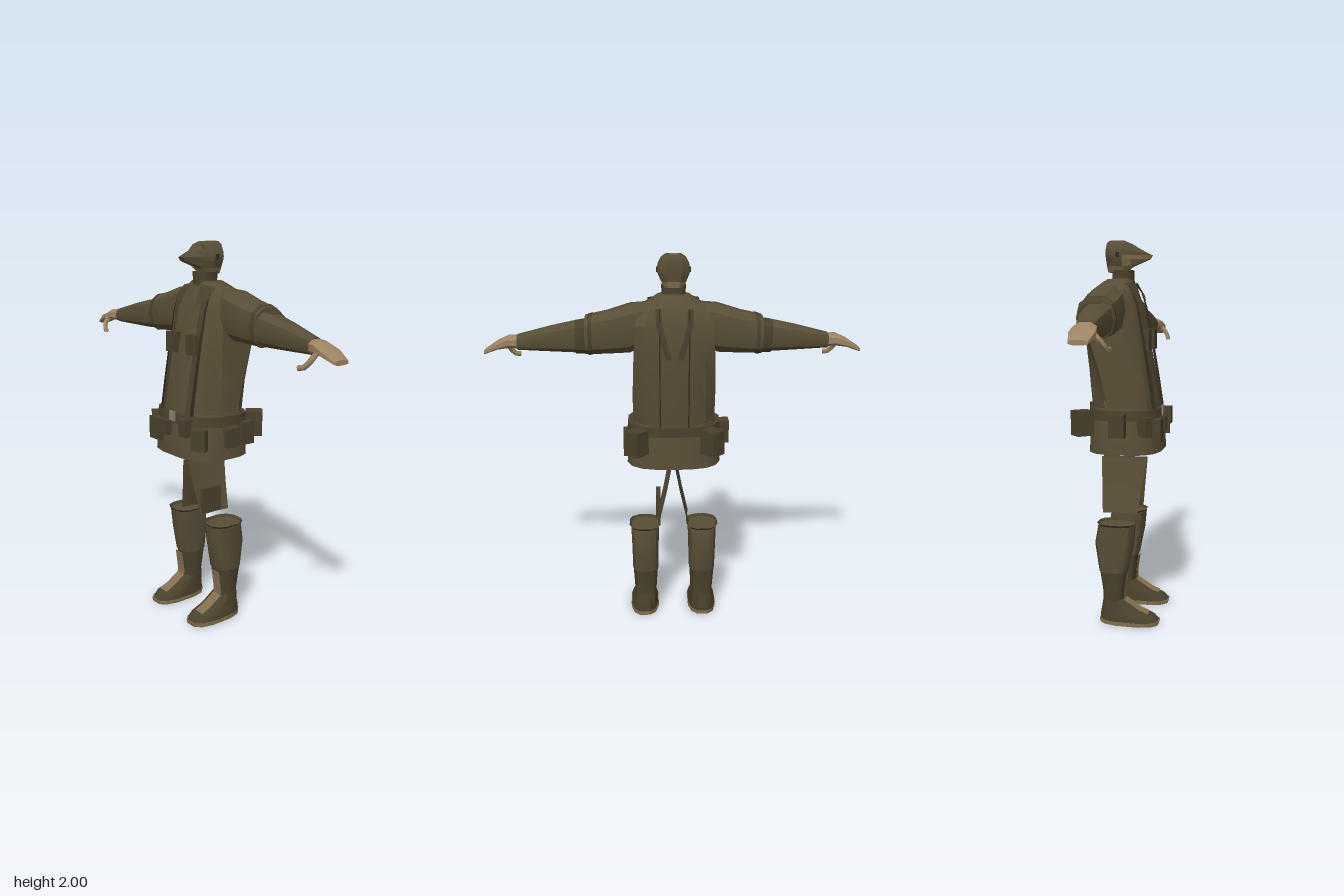
import * as THREE from 'three';
import { toCreasedNormals } from 'three/addons/utils/BufferGeometryUtils.js';

const mat = (name, color, side = THREE.DoubleSide) => {
  const m = new THREE.MeshStandardMaterial({ color, side });
  m.name = name;
  return m;
};

// Skin a list of rings (arrays of [x, y, z]) with optional caps
function loft(rings, { closed = true, caps = closed } = {}) {
  const n = rings[0].length, pos = [];
  const tri = (a, b, c) => pos.push(...a, ...b, ...c);
  for (let i = 0; i < rings.length - 1; i++) {
    for (let j = 0; j < (closed ? n : n - 1); j++) {
      const k = (j + 1) % n, A = rings[i], B = rings[i + 1];
      tri(A[j], B[j], B[k]);
      tri(A[j], B[k], A[k]);
    }
  }
  if (caps) {
    const mid = r => [0, 1, 2].map(d => r.reduce((s, p) => s + p[d], 0) / n);
    const first = rings[0], last = rings[rings.length - 1];
    for (let j = 0; j < n; j++) {
      const k = (j + 1) % n;
      tri(mid(first), first[j], first[k]);
      tri(mid(last), last[k], last[j]);
    }
  }
  const g = new THREE.BufferGeometry();
  g.setAttribute('position', new THREE.Float32BufferAttribute(pos, 3));
  return toCreasedNormals(g, 0.6);
}

// Mirror a geometry across x = 0, keeping faces outward
function mirror(geo) {
  const g = geo.index ? geo.toNonIndexed() : geo.clone();
  const p = g.attributes.position;
  for (let i = 0; i < p.count; i += 3) {
    const v = [0, 2, 1].map(k => [-p.getX(i + k), p.getY(i + k), p.getZ(i + k)]);
    v.forEach((q, k) => p.setXYZ(i + k, ...q));
  }
  g.deleteAttribute('normal');
  return toCreasedNormals(g, 0.6);
}

// Rounded-square rings: level across y, or upright across x
const round = (t, e) => Math.sign(t) * Math.abs(t) ** e;
const angles = n => Array.from({ length: n }, (_, i) => ((i + 0.5) / n) * Math.PI * 2);
const ringY = (cx, y, rx, zf, zb, n = 12, e = 0.75) => angles(n).map(a =>
  [cx + rx * round(Math.cos(a), e), y, (zf + zb) / 2 + (zf - zb) / 2 * round(Math.sin(a), e)]);
const ringX = (x, cy, ry, cz, rz, n = 10) => angles(n).map(a =>
  [x, cy + ry * round(Math.cos(a), 0.8), cz - rz * round(Math.sin(a), 0.8)]);

export function createModel() {
  const model = new THREE.Group();
  const olive = mat('olive cloth', 0x584e36);
  const dark = mat('dark olive gear', 0x4a412c);
  const shade = mat('seam brown', 0x332d1f);
  const skin = mat('skin tan', 0x9c8362);
  const worn = mat('worn leather', 0x85704f);
  const metal = mat('buckle metal', 0x8c8270);
  const add = (name, geo, m) => {
    const mesh = new THREE.Mesh(geo, m);
    mesh.name = name;
    model.add(mesh);
    return mesh;
  };
  const pair = (name, geo, m) => {
    add(name + 'Left', geo, m);
    add(name + 'Right', mirror(geo), m);
  };
  const box = (name, m, size, at, turn = 0) => {
    const mesh = add(name, new THREE.BoxGeometry(...size), m);
    mesh.position.set(...at);
    mesh.rotation.y = turn;
  };

  // Jacket: front and back shells with an open seam; rows are y, half width, front, back, seam
  const rows = [
    [1.14, 0.213, 0.185, -0.15, -0.045], [1.3, 0.213, 0.16, -0.165, -0.08],
    [1.5, 0.205, 0.125, -0.176, -0.145], [1.67, 0.195, 0.09, -0.18, -0.155],
    [1.75, 0.165, 0.06, -0.15, -0.1], [1.795, 0.09, 0.04, -0.1, -0.05],
  ];
  const flip = half => [...half, ...half.slice(0, -1).reverse().map(([x, y, z]) => [-x, y, z])];
  add('jacketFront', loft(rows.map(([y, w, f, , s]) => flip([
    [w, y, s + 0.006], [w, y, f * 0.35], [w * 0.76, y, f * 0.84], [w * 0.4, y, f], [0, y, f + 0.002],
  ])), { closed: false }), olive);
  add('jacketBack', loft(rows.map(([y, w, , b, s]) => flip([
    [-w, y, s - 0.006], [-w * 0.75, y, b * 0.75 + s * 0.25], [-w * 0.4, y, b], [0, y, b],
  ])), { closed: false }), olive);

  // Jacket straps and seams
  const strip = (x0, x1, pick) => loft(rows.slice(0, 5).map(pick(x0, x1)), { closed: false });
  const frontRow = (x0, x1) => ([y, , f]) => [[x1, y, f * 0.89 + 0.009], [x0, y, f + 0.008]];
  const backRow = (x0, x1) => ([y, , b0, b]) => [[x0, y, b - 0.006], [x1, y, b - 0.004]];
  pair('frontStrap', strip(0.088, 0.128, frontRow), dark);
  pair('frontSeam', strip(0.126, 0.132, frontRow), shade);
  pair('backSeam', strip(0.07, 0.077, backRow), shade);
  pair('yokeStrap', loft([
    [[0.015, 1.5, -0.181], [0.045, 1.5, -0.181]], [[0.06, 1.67, -0.187], [0.09, 1.67, -0.185]],
    [[0.065, 1.75, -0.157], [0.095, 1.75, -0.15]],
  ], { closed: false }), dark);

  // Collar and neck
  add('collar', loft([
    ringY(0, 1.73, 0.15, 0.075, -0.15), ringY(0, 1.775, 0.125, 0.06, -0.125), ringY(0, 1.805, 0.08, 0.045, -0.085),
  ]), olive);
  pair('collarFlap', loft([
    [[0.14, 1.72, 0.085], [0.06, 1.69, 0.105]], [[0.13, 1.78, 0.03], [0.045, 1.79, 0.06]],
  ], { closed: false }), dark);
  add('neckScarf', loft([
    ringY(0, 1.76, 0.07, 0.06, -0.06), ringY(0, 1.81, 0.06, 0.05, -0.06), ringY(0, 1.85, 0.065, 0.05, -0.06),
  ]), dark);

  // Head with a jutting, wedge-shaped face
  const headRing = ([y, w, f, b]) => [
    [w, y, 0], [w * 0.7, y, Math.min(0.04, f)], [w * 0.2, y, f], [-w * 0.2, y, f], [-w * 0.7, y, Math.min(0.04, f)],
    [-w, y, 0], [-w * 0.95, y, b * 0.7], [-w * 0.5, y, b], [w * 0.5, y, b], [w * 0.95, y, b * 0.7],
  ];
  const jaw = [[1.84, 0.05, 0.01, -0.08], [1.87, 0.065, 0.045, -0.085]].map(headRing);
  const hood = [
    [1.87, 0.065, 0.045, -0.085], [1.905, 0.08, 0.135, -0.088], [1.925, 0.084, 0.148, -0.09],
    [1.955, 0.078, 0.09, -0.09], [1.985, 0.062, 0.04, -0.086], [2, 0.04, 0.005, -0.075],
  ].map(headRing);
  add('jaw', loft(jaw), worn);
  add('hood', loft(hood), olive);
  add('cheek', loft(hood.slice(0, 3).map(r => [r[3], r[4], r[5]].map(([x, y, z]) => [x - 0.003, y, z + 0.003])),
    { closed: false }), worn);
  box('crownPatch', worn, [0.035, 0.004, 0.06], [0, 1.999, -0.035]);
  for (const s of [-1, 1]) box('earSpot', shade, [0.004, 0.025, 0.018], [s * 0.084, 1.925, -0.02]);

  // Arms: wide rolled sleeve, forearm, hand and thumb
  pair('sleeve', loft([
    ringX(0.11, 1.675, 0.1, -0.05, 0.08), ringX(0.22, 1.642, 0.124, -0.052, 0.105),
    ringX(0.34, 1.62, 0.108, -0.048, 0.1), ringX(0.445, 1.607, 0.098, -0.045, 0.094),
  ]), olive);
  pair('sleeveCuff', loft([ringX(0.41, 1.612, 0.104, -0.045, 0.099), ringX(0.43, 1.607, 0.103, -0.045, 0.098)]), dark);
  pair('forearm', loft([
    ringX(0.42, 1.602, 0.085, -0.035, 0.08), ringX(0.5, 1.595, 0.08, -0.03, 0.076),
    ringX(0.62, 1.583, 0.065, -0.018, 0.066), ringX(0.795, 1.562, 0.039, 0, 0.046),
  ]), olive);
  pair('elbowPad', loft([ringX(0.445, 1.6, 0.087, -0.045, 0.083), ringX(0.495, 1.596, 0.083, -0.045, 0.075)]), dark);
  pair('hand', loft([
    ringX(0.78, 1.562, 0.034, 0, 0.04, 8), ringX(0.84, 1.563, 0.032, 0.013, 0.055, 8),
    ringX(0.9, 1.545, 0.022, 0.015, 0.062, 8), ringX(0.965, 1.512, 0.012, 0.015, 0.046, 8),
  ]), skin);
  const thumbPath = new THREE.CatmullRomCurve3(
    [[0.86, 1.555, 0.045], [0.85, 1.51, 0.085], [0.825, 1.48, 0.1], [0.8, 1.477, 0.108]].map(p => new THREE.Vector3(...p)));
  pair('thumb', new THREE.TubeGeometry(thumbPath, 5, 0.014, 5), skin);

  // Jacket skirt, belt and buckle
  add('skirt', loft([
    ringY(0, 0.915, 0.25, 0.218, -0.172, 16, 0.7), ringY(0, 1.03, 0.243, 0.212, -0.165, 16, 0.7),
    ringY(0, 1.15, 0.22, 0.185, -0.153, 16, 0.7),
  ]), olive);
  add('belt', loft([ringY(0, 1.09, 0.248, 0.212, -0.168, 16, 0.7), ringY(0, 1.14, 0.243, 0.205, -0.165, 16, 0.7)]), dark);
  box('buckle', metal, [0.045, 0.05, 0.008], [0, 1.125, 0.21]);

  // Pouches: size, position, turn
  [
    [[0.08, 0.105, 0.05], [-0.085, 1.495, 0.13]], [[0.08, 0.105, 0.05], [0.083, 1.495, 0.13]],
    [[0.1, 0.12, 0.04], [-0.135, 1.035, 0.208]], [[0.06, 0.08, 0.04], [-0.045, 1.06, 0.215]],
    [[0.06, 0.09, 0.04], [0.12, 1.085, 0.218]], [[0.08, 0.11, 0.04], [0.195, 1.03, 0.185], 0.5],
    [[0.07, 0.12, 0.08], [-0.26, 1.07, 0.02]], [[0.04, 0.1, 0.08], [0.247, 1.03, 0.02]],
    [[0.04, 0.12, 0.08], [0.243, 1.04, -0.085]], [[0.05, 0.1, 0.07], [-0.215, 1.06, 0.15], -0.6],
    [[0.085, 0.13, 0.09], [0.195, 1.07, -0.18], -0.75], [[0.085, 0.13, 0.09], [-0.195, 1.07, -0.18], 0.75],
  ].forEach(([size, at, turn], i) => box('pouch' + (i + 1), dark, size, at, turn));

  // Inner thigh panels
  pair('thighPanel', loft([
    [0.57, 0.085, 0.09, -0.1], [0.72, 0.05, 0.108, -0.11], [0.865, 0.022, 0.125, -0.12],
  ].map(([y, x, f, b]) => [[x, y, f], [x - 0.014, y, (f + b) / 2], [x, y, b]]), { closed: false }), olive);
  box('thighSheath', dark, [0.025, 0.14, 0.12], [0.083, 0.65, 0.02]);

  // Tall boots
  const cx = 0.157;
  pair('bootUpper', loft([
    ringY(cx, 0.28, 0.072, 0.055, -0.097), ringY(cx, 0.43, 0.075, 0.085, -0.12), ringY(cx, 0.53, 0.079, 0.094, -0.102),
  ]), olive);
  pair('bootLip', loft([ringY(cx, 0.53, 0.077, 0.09, -0.098), ringY(cx, 0.543, 0.088, 0.1, -0.108)],
    { caps: false }), dark);
  pair('bootAnkle', loft([
    ringY(cx, 0.09, 0.063, 0.035, -0.078), ringY(cx, 0.16, 0.062, 0.034, -0.075), ringY(cx, 0.285, 0.07, 0.05, -0.094),
  ]), dark);
  const fx = 0.163;
  pair('foot', loft([
    ringY(fx, 0.018, 0.078, 0.225, -0.092), ringY(fx, 0.045, 0.075, 0.2, -0.09),
    ringY(0.16, 0.075, 0.068, 0.12, -0.085), ringY(cx, 0.13, 0.061, 0.034, -0.075),
  ]), dark);
  pair('sole', loft([ringY(fx, 0, 0.08, 0.225, -0.094), ringY(fx, 0.02, 0.081, 0.23, -0.095)]), worn);
  pair('shinPatch', loft([[0.06, 0.168], [0.078, 0.123], [0.13, 0.042], [0.16, 0.04], [0.27, 0.054]]
    .map(([y, z]) => [[0.198, y, z], [0.135, y, z]]), { closed: false }), worn);

  return model;
}
